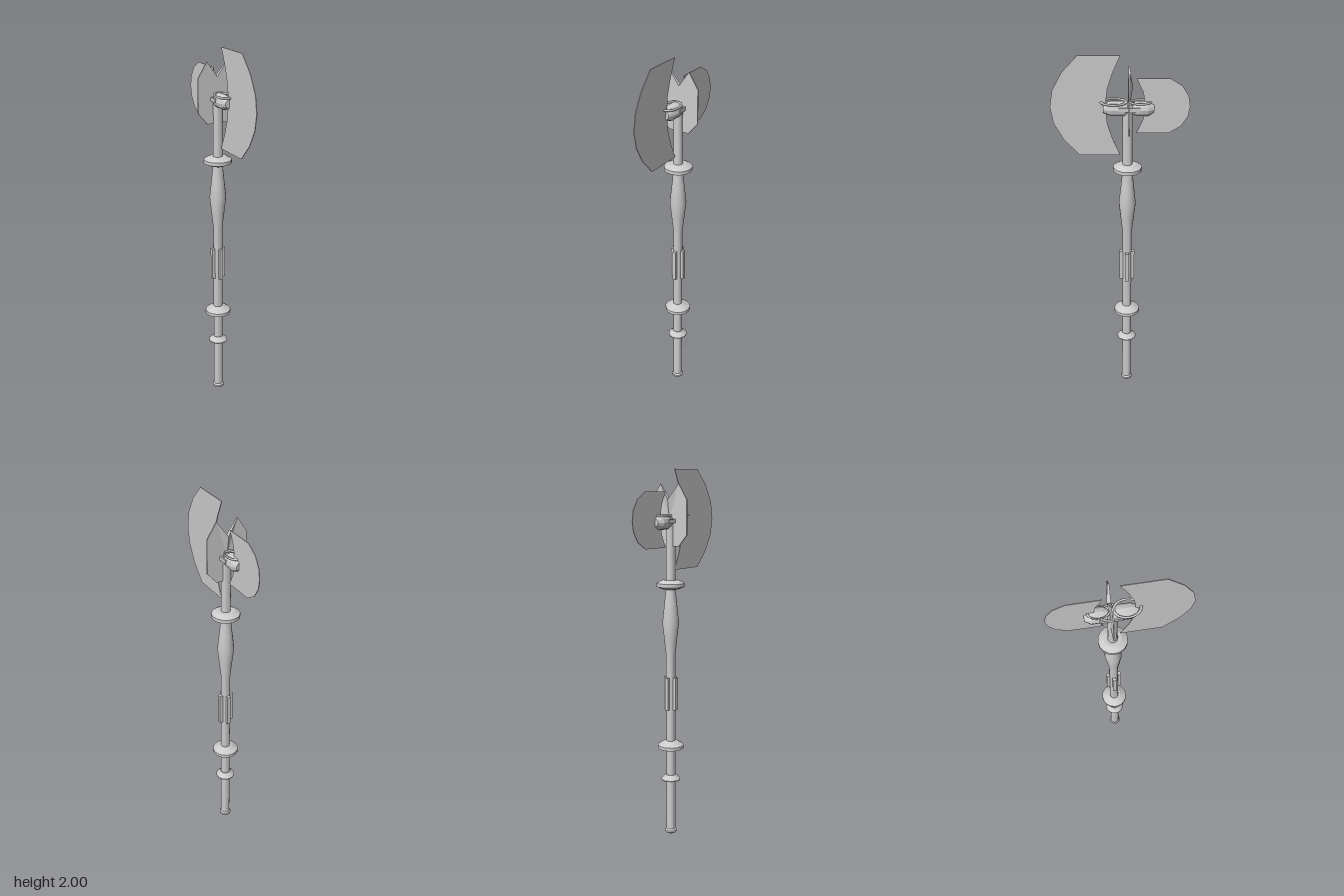
import * as THREE from 'three';
import { toCreasedNormals } from 'three/addons/utils/BufferGeometryUtils.js';

const AXIS_Z = -0.037; // the shaft sits slightly behind the centre
const HEAD_Y = 1.73;

export function createModel() {
  const model = new THREE.Group();
  const mat = new THREE.MeshStandardMaterial({ color: 0xcccccc });
  const matDouble = new THREE.MeshStandardMaterial({ color: 0xcccccc, side: THREE.DoubleSide });

  const add = (name, geo, x = 0, y = 0, z = 0, material = mat) => {
    const mesh = new THREE.Mesh(geo, material);
    mesh.name = name;
    mesh.position.set(x, y, z);
    model.add(mesh);
    return mesh;
  };
  // turned part from [radius, height] pairs
  const turned = (pts, sides = 16) =>
    toCreasedNormals(new THREE.LatheGeometry(pts.map(p => new THREE.Vector2(...p)), sides), 0.45);

  // shaft with swelling below the upper collar
  add('shaft', turned([[0, 0.005], [0.025, 0.005], [0.025, 1.02], [0.034, 1.1], [0.045, 1.2],
    [0.034, 1.3], [0.026, 1.38], [0.025, 1.43], [0.025, 1.72], [0, 1.72]]), 0, 0, AXIS_Z);

  // rings along the shaft
  const rings = {
    pommel: [[0, 0], [0.026, 0], [0.032, 0.006], [0.032, 0.016], [0.025, 0.024]],
    lowerFlange: [[0.025, 0.315], [0.053, 0.315], [0.053, 0.32], [0.028, 0.345], [0.024, 0.345]],
    handGuard: [[0.025, 0.5], [0.071, 0.5], [0.071, 0.518], [0.035, 0.542], [0.024, 0.542]],
    upperCollar: [[0.025, 1.38], [0.045, 1.38], [0.075, 1.393], [0.075, 1.412], [0.045, 1.428], [0.024, 1.428]],
  };
  for (const [name, pts] of Object.entries(rings)) add(name, turned(pts), 0, 0, AXIS_Z);

  // four grip slats
  for (let i = 0; i < 4; i++) {
    const a = i * Math.PI / 2;
    const slat = add('gripSlat', new THREE.BoxGeometry(0.02, 0.18, 0.02),
      Math.sin(a) * 0.03, 0.81, AXIS_Z + Math.cos(a) * 0.03);
    slat.rotation.y = a;
  }

  // two barrels lying along z, and the bars joining them
  const barrel = (name, pts) => add(name, turned(pts, 12), 0, HEAD_Y, 0).rotation.x = Math.PI / 2;
  barrel('frontBarrel', [[0, -0.035], [0.03, -0.035], [0.038, -0.02], [0.038, 0.05], [0.022, 0.085], [0, 0.085]]);
  barrel('rearBarrel', [[0, -0.168], [0.02, -0.168], [0.038, -0.138], [0.038, -0.08], [0.028, -0.06], [0, -0.06]]);
  add('headCore', new THREE.BoxGeometry(0.04, 0.045, 0.08), 0, HEAD_Y, -0.05);
  for (const s of [-1, 1])
    add('sideBar', new THREE.BoxGeometry(0.008, 0.02, 0.11), s * 0.037, HEAD_Y + 0.005, -0.045);

  // flat oval hoops on top of the barrels
  for (const [name, rx, rz, z] of [['frontHoop', 0.046, 0.063, 0.033], ['rearHoop', 0.032, 0.051, -0.1]]) {
    const hoop = add(name, new THREE.TorusGeometry(1, 0.12, 6, 24), 0, 1.763, z);
    hoop.rotation.x = Math.PI / 2;
    hoop.scale.set(rx, rz, 0.05);
  }

  // thin blades, outlined as [z, y]
  const blade = (name, pts) => {
    const shape = new THREE.Shape(pts.map(([z, y]) => new THREE.Vector2(-z, y)));
    const geo = new THREE.ExtrudeGeometry(shape, { depth: 0.004, bevelEnabled: false });
    add(name, geo.rotateY(Math.PI / 2), 0, 0, 0, matDouble);
  };
  blade('largeBlade', [[0, 2], [0.207, 2], [0.286, 1.915], [0.335, 1.825], [0.35, 1.739], [0.335, 1.653],
    [0.286, 1.563], [0.207, 1.478], [0, 1.478], [0.04, 1.57], [0.065, 1.65], [0.074, 1.739],
    [0.065, 1.828], [0.04, 1.908]]);
  blade('smallBlade', [[-0.08, 1.885], [-0.244, 1.885], [-0.305, 1.848], [-0.338, 1.795], [-0.347, 1.742],
    [-0.338, 1.69], [-0.305, 1.637], [-0.244, 1.6], [-0.08, 1.6], [-0.113, 1.67], [-0.124, 1.742], [-0.113, 1.815]]);

  // cross plate: flat front, back folded outward at the notch
  const half = [[0, 1.845], [0.058, 1.925], [0.11, 1.845], [0.11, 1.665], [0.058, 1.605]];
  const rim = [...half, ...half.slice(1).reverse().map(([x, y]) => [-x, y])];
  const pos = [];
  const tri = (...v) => v.forEach(p => pos.push(...p));
  const front = ([x, y]) => [x, y, -0.04];
  const back = ([x, y]) => [x, y, x === 0 ? -0.062 : -0.047];
  const hub = [0, 1.74];
  rim.forEach((a, i) => {
    const b = rim[(i + 1) % rim.length];
    tri(front(hub), front(b), front(a));
    tri([...hub, -0.047], back(a), back(b));
    tri(front(a), front(b), back(b));
    tri(front(a), back(b), back(a));
  });
  const plate = new THREE.BufferGeometry();
  plate.setAttribute('position', new THREE.Float32BufferAttribute(pos, 3));
  plate.computeVertexNormals();
  add('crossPlate', plate, 0, 0, 0, matDouble);

  return model;
}
